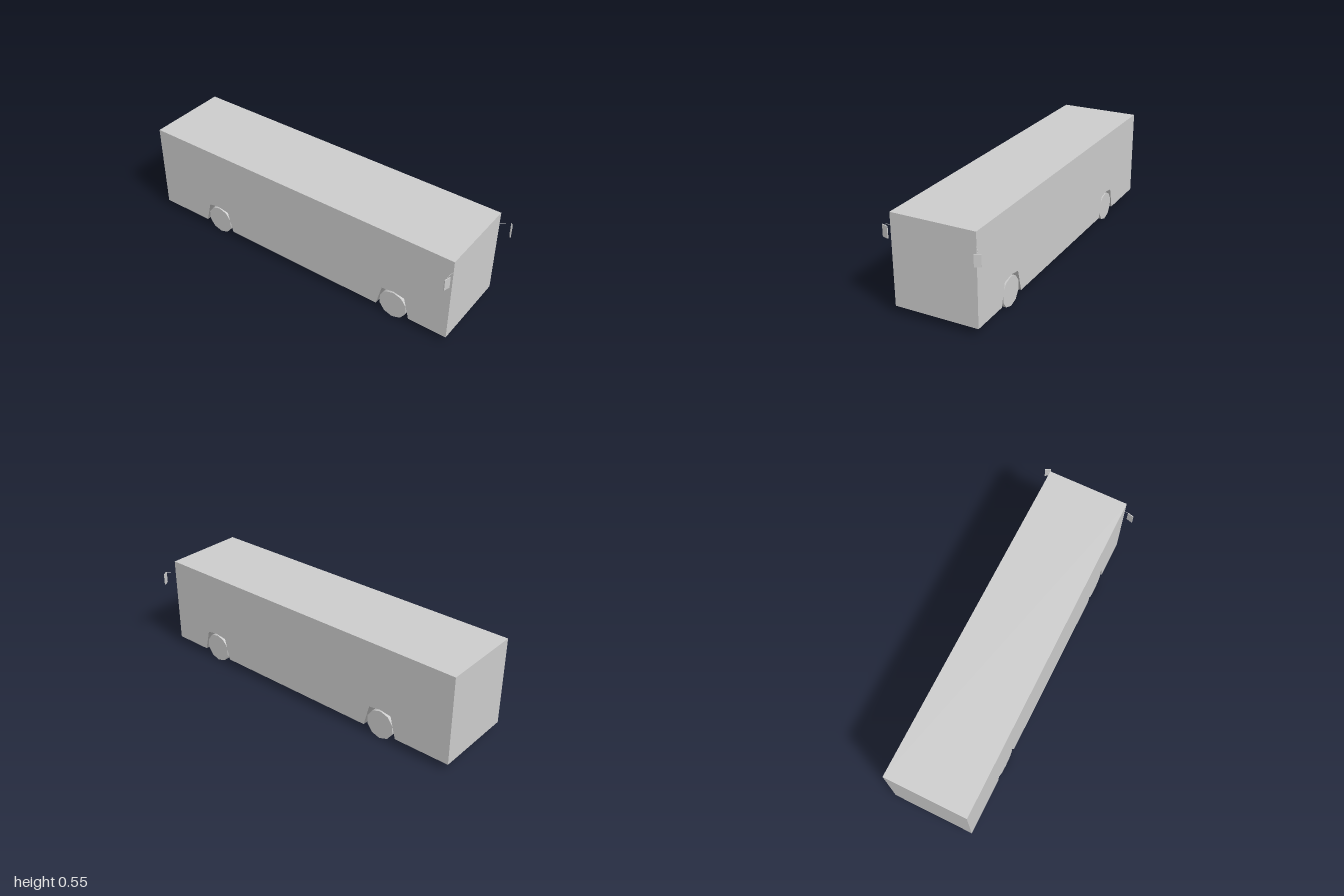
import * as THREE from 'three';
import { toCreasedNormals } from 'three/addons/utils/BufferGeometryUtils.js';

const grey = new THREE.MeshStandardMaterial({ color: 0xcccccc });
const FLOOR = 0.042, ROOF = 0.545, FRONT = 0.937, BACK = -1;
const HALF_WIDTH = 0.235, AXLES = [-0.58, 0.614], WHEEL_RADIUS = 0.083;

function addMesh(parent, name, geometry) {
  const mesh = new THREE.Mesh(geometry, grey);
  mesh.name = name;
  parent.add(mesh);
  return mesh;
}

// Side profile with angular wheel arches, extruded across the full width
function bodyGeometry() {
  const arch = [[-0.1, FLOOR], [-0.068, 0.167], [0, 0.178], [0.068, 0.167], [0.1, FLOOR]];
  const points = [new THREE.Vector2(BACK, FLOOR)];
  for (const z of AXLES) {
    for (const [dz, y] of arch) points.push(new THREE.Vector2(z + dz, y));
  }
  points.push(new THREE.Vector2(FRONT, FLOOR), new THREE.Vector2(FRONT, ROOF), new THREE.Vector2(BACK, ROOF));
  const geometry = new THREE.ExtrudeGeometry(new THREE.Shape(points), { depth: HALF_WIDTH * 2, bevelEnabled: false });
  geometry.translate(0, 0, -HALF_WIDTH).rotateY(-Math.PI / 2);
  return toCreasedNormals(geometry, 1.4);
}

// Thin rod between two points
function addRod(parent, name, from, to) {
  const a = new THREE.Vector3(...from), b = new THREE.Vector3(...to);
  const rod = addMesh(parent, name, new THREE.CylinderGeometry(0.001, 0.001, a.distanceTo(b), 6));
  rod.position.copy(a).lerp(b, 0.5);
  rod.quaternion.setFromUnitVectors(new THREE.Vector3(0, 1, 0), b.sub(a).normalize());
}

// Mirror hanging from a bent arm
function addMirror(parent, name, arm, center, width, turn) {
  const group = new THREE.Group();
  group.name = name;
  for (let i = 1; i < arm.length; i++) addRod(group, 'mirrorArm', arm[i - 1], arm[i]);
  const plate = addMesh(group, 'mirrorPlate', new THREE.BoxGeometry(width, 0.065, 0.005));
  plate.position.set(...center);
  plate.rotation.y = turn;
  parent.add(group);
}

export function createModel() {
  const bus = new THREE.Group();
  bus.name = 'bus';

  addMesh(bus, 'body', bodyGeometry()).position.x = 0.001;

  // Ten-sided wheels with a corner pointing straight down
  const wheel = new THREE.CylinderGeometry(WHEEL_RADIUS, WHEEL_RADIUS, 0.059, 10);
  wheel.rotateY(Math.PI / 2).rotateZ(Math.PI / 2);
  AXLES.forEach((z, i) => {
    for (const side of [-1, 1]) {
      const name = (i ? 'front' : 'rear') + (side > 0 ? 'Left' : 'Right') + 'Wheel';
      addMesh(bus, name, wheel).position.set(side * 0.202 + 0.001, WHEEL_RADIUS, z);
    }
  });

  // The left mirror reaches forward, the right one sticks out sideways
  addMirror(bus, 'leftMirror',
    [[0.235, 0.473, 0.935], [0.272, 0.473, 0.987], [0.272, 0.464, 0.989]],
    [0.272, 0.4325, 0.989], 0.035, 0.5);
  addMirror(bus, 'rightMirror',
    [[-0.233, 0.473, 0.93], [-0.268, 0.473, 0.926], [-0.273, 0.464, 0.928]],
    [-0.273, 0.4325, 0.928], 0.037, -0.28);

  return bus;
}
